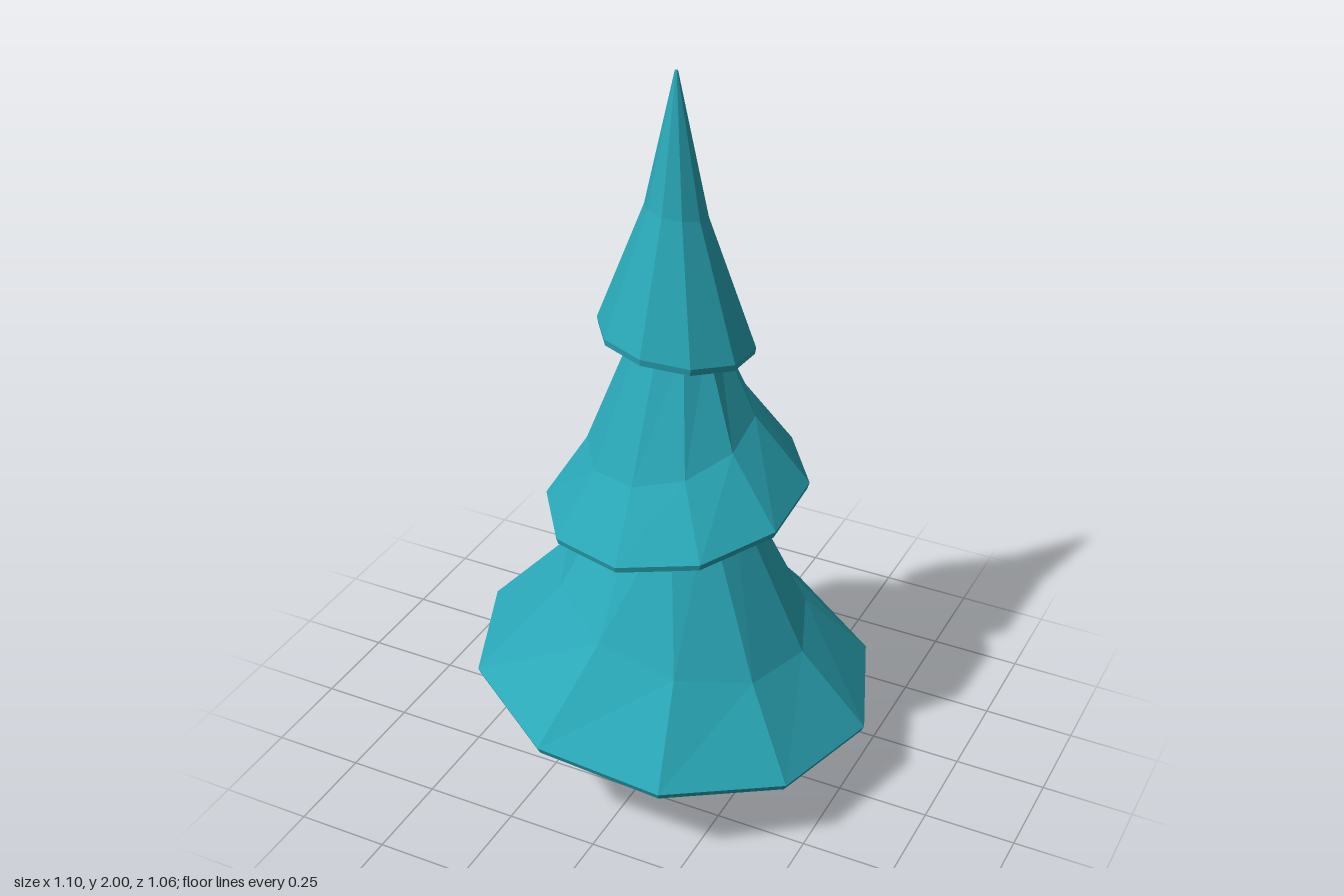
import * as THREE from 'three';

const SIDES = 10;
const material = new THREE.MeshStandardMaterial({ color: 0x2aa8b8, flatShading: true });

// A ring lies on the tilted plane y + sx * x + sz * z, around centre (cx, cz)
function ring(r, y, sx = 0, sz = 0, cx = 0, cz = 0) {
  return { r, y, sx, sz, cx, cz };
}

// Skin a stack of tilted rings, listed from bottom to top
function loft(name, rings, startDegrees) {
  const positions = [], index = [];
  for (const k of rings) {
    for (let i = 0; i < SIDES; i++) {
      const a = THREE.MathUtils.degToRad(startDegrees + (i * 360) / SIDES);
      const x = k.cx + k.r * Math.cos(a), z = k.cz + k.r * Math.sin(a);
      positions.push(x, k.y + k.sx * x + k.sz * z, z);
    }
  }
  for (let j = 0; j < rings.length - 1; j++) {
    for (let i = 0; i < SIDES; i++) {
      const n = (i + 1) % SIDES;
      const a = j * SIDES + i, b = j * SIDES + n;
      const c = a + SIDES, d = b + SIDES;
      index.push(a, c, b, b, c, d);
    }
  }
  const geometry = new THREE.BufferGeometry();
  geometry.setAttribute('position', new THREE.Float32BufferAttribute(positions, 3));
  geometry.setIndex(index);
  geometry.computeVertexNormals();
  const mesh = new THREE.Mesh(geometry, material);
  mesh.name = name;
  return mesh;
}

// Flared tier: flat underside, thin rim, bend, narrow top
function tier(name, startDegrees, rim, bend, top) {
  const { r, y, sx, sz } = rim;
  return loft(name, [
    ring(0, y, sx, sz),
    ring(r * 0.985, y, sx, sz),
    ring(r, y + 0.018, sx, sz),
    bend,
    top,
    ring(0, top.y),
  ], startDegrees);
}

export function createModel() {
  const tree = new THREE.Group();
  tree.name = 'pineTree';

  // Trunk
  const trunk = new THREE.Mesh(new THREE.CylinderGeometry(0.078, 0.078, 0.32, SIDES), material);
  trunk.name = 'trunk';
  trunk.position.y = 0.16;
  tree.add(trunk);

  // Foliage, each tier leaning its own way
  tree.add(tier('lowerFoliage', -3.4,
    ring(0.55, 0.262, -0.13, 0),
    ring(0.34, 0.53, -0.28, 0, 0.035, 0.02),
    ring(0.16, 0.86)));
  tree.add(tier('middleFoliage', 90,
    ring(0.35, 0.82, 0.1, -0.12),
    ring(0.22, 1.035, 0.15, -0.28, -0.01, 0.015),
    ring(0.105, 1.31)));
  tree.add(tier('upperFoliage', 90,
    ring(0.203, 1.28, -0.12, 0.1),
    ring(0.08, 1.635, -0.12, 0.15),
    ring(0.004, 1.995)));
  tree.children[3].geometry.computeBoundingBox();
  tree.children[3].scale.y = 2 / tree.children[3].geometry.boundingBox.max.y;

  return tree;
}
